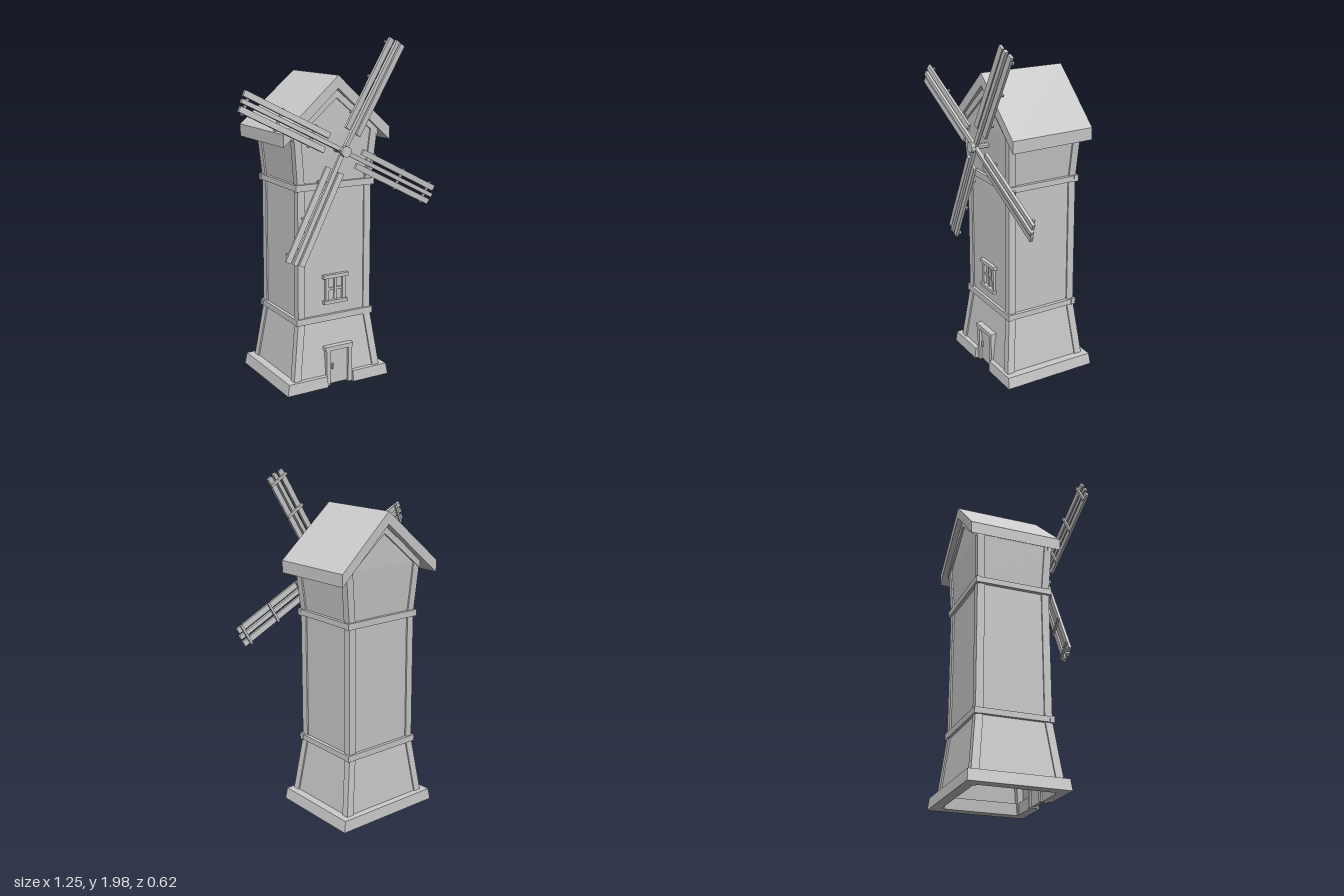
import * as THREE from 'three';

const mat = new THREE.MeshStandardMaterial({ color: 0xcccccc, flatShading: true, side: THREE.DoubleSide });
const CX = -0.005, CZ = -0.018;
// tower outline: height, half width, half depth
const LEVELS = [[0, 0.294, 0.262], [0.4, 0.238, 0.219], [1.17, 0.237, 0.217], [1.47, 0.266, 0.23]];

function add(parent, name, geo) {
  const mesh = new THREE.Mesh(geo, mat);
  mesh.name = name;
  parent.add(mesh);
  return mesh;
}

// box given by its limits
function box(parent, name, x0, x1, y0, y1, z0, z1) {
  const g = new THREE.BoxGeometry(x1 - x0, y1 - y0, z1 - z0);
  g.translate((x0 + x1) / 2, (y0 + y1) / 2, (z0 + z1) / 2);
  return add(parent, name, g);
}

// rectangular cross-sections {x, z, y, hx, hz} joined upwards
function loft(sections, caps, skip = () => false) {
  const p = [];
  const ring = s => [[1, 1], [1, -1], [-1, -1], [-1, 1]].map(([a, b]) => [s.x + a * s.hx, s.y, s.z + b * s.hz]);
  const quad = (a, b, c, d) => p.push(...a, ...b, ...c, ...a, ...c, ...d);
  const rings = sections.map(ring);
  for (let l = 0; l < rings.length - 1; l++) {
    for (let i = 0; i < 4; i++) {
      if (skip(l, i)) continue;
      const j = (i + 1) % 4;
      quad(rings[l][i], rings[l][j], rings[l + 1][j], rings[l + 1][i]);
    }
  }
  if (caps) {
    quad(...rings[0].slice().reverse());
    quad(...rings[rings.length - 1]);
  }
  const g = new THREE.BufferGeometry();
  g.setAttribute('position', new THREE.Float32BufferAttribute(p, 3));
  g.computeVertexNormals();
  return g;
}

function bend(geo, rule) {
  const p = geo.attributes.position, v = new THREE.Vector3();
  for (let i = 0; i < p.count; i++) {
    rule(v.fromBufferAttribute(p, i));
    p.setXYZ(i, v.x, v.y, v.z);
  }
  geo.computeVertexNormals();
  return geo;
}

function extrude(points, z0, z1) {
  const shape = new THREE.Shape(points.map(([x, y]) => new THREE.Vector2(x, y)));
  const g = new THREE.ExtrudeGeometry(shape, { depth: z1 - z0, bevelEnabled: false });
  return g.translate(0, 0, z0);
}

// inverted V of constant vertical thickness
const chevron = (w, peak, eave, t, z0, z1) => extrude([
  [CX - w, eave - t], [CX, peak - t], [CX + w, eave - t], [CX + w, eave], [CX, peak], [CX - w, eave]], z0, z1);

function buildTower() {
  const g = new THREE.Group();
  g.name = 'tower';
  const inset = 0.009;
  // walls, open underneath, with the lower front left for the doorway panel
  add(g, 'walls', loft(LEVELS.map(([y, hx, hz]) => ({ x: CX, z: CZ, y, hx: hx - inset, hz: hz - inset })),
    false, (l, i) => l === 0 && i === 3));
  const bx = 0.285, tx = 0.229;
  const panel = new THREE.ShapeGeometry(new THREE.Shape([
    [CX - bx, 0], [-0.07, 0], [-0.07, 0.22], [0.08, 0.22], [0.08, 0], [CX + bx, 0], [CX + tx, 0.4], [CX - tx, 0.4],
  ].map(([x, y]) => new THREE.Vector2(x, y))));
  add(g, 'doorwayWall', bend(panel, v => { v.z = 0.235 - v.y / 0.4 * 0.043; }));
  // corner posts following the outline
  const s = 0.022;
  for (const a of [-1, 1]) for (const b of [-1, 1]) {
    add(g, 'cornerPost', loft(LEVELS.map(([y, hx, hz]) => (
      { x: CX + a * (hx - s), z: CZ + b * (hz - s), y, hx: s, hz: s })), true));
  }
  // horizontal bands
  for (const [y0, y1] of [[0.385, 0.422], [1.155, 1.192]]) {
    for (const k of [-1, 1]) {
      const zc = CZ + k * 0.214, xc = CX + k * 0.236;
      box(g, 'bandBeam', CX - 0.252, CX + 0.252, y0, y1, zc - 0.014, zc + 0.014);
      box(g, 'bandBeam', xc - 0.014, xc + 0.014, y0 + 0.002, y1 - 0.002, CZ - 0.212, CZ + 0.212);
    }
  }
  return g;
}

function buildPlinth() {
  const g = new THREE.Group();
  g.name = 'plinth';
  const bars = [
    [-0.342, -0.08, 0.205, 0.26], [0.09, 0.33, 0.205, 0.26], // front, either side of the door
    [-0.342, 0.33, -0.31, -0.25],
    [-0.342, -0.275, -0.25, 0.205], [0.265, 0.33, -0.25, 0.205],
  ];
  for (const [x0, x1, z0, z1] of bars) {
    const m = box(g, 'plinthBeam', x0, x1, 0, 0.066, z0, z1);
    bend(m.geometry, v => {
      if (v.y > 0.03 && Math.abs(v.x) > 0.1) v.x *= 0.965;
      if (v.y > 0.03) v.z *= 0.98;
    });
  }
  return g;
}

function buildHead() {
  const g = new THREE.Group();
  g.name = 'head';
  // gable body under the roof
  add(g, 'gable', extrude([[CX - 0.257, 1.46], [CX + 0.257, 1.46], [CX + 0.257, 1.485], [CX, 1.7], [CX - 0.257, 1.485]],
    CZ - 0.22, CZ + 0.22));
  for (const z of [CZ + 0.205, CZ - 0.232]) {
    add(g, 'gableRafter', chevron(0.268, 1.7, 1.477, 0.045, z, z + 0.027));
  }
  // roof, slightly askew at the back
  add(g, 'roof', bend(chevron(0.338, 1.778, 1.478, 0.07, -0.282, 0.232), v => {
    if (v.z > 0) return;
    if (v.x < -0.1) v.z -= 0.028;
    if (v.x > 0.1) v.x -= 0.018;
  }));
  return g;
}

function buildDoor() {
  const g = new THREE.Group();
  g.name = 'door';
  box(g, 'doorLeaf', -0.058, 0.07, 0.005, 0.218, 0.205, 0.226);
  box(g, 'doorJamb', -0.08, -0.055, 0, 0.218, 0.195, 0.241);
  box(g, 'doorJamb', 0.065, 0.09, 0, 0.218, 0.195, 0.241);
  box(g, 'doorLintel', -0.087, 0.096, 0.213, 0.238, 0.195, 0.244);
  box(g, 'doorHandle', -0.04, -0.032, 0.095, 0.13, 0.224, 0.236);
  return g;
}

function buildWindow() {
  const g = new THREE.Group();
  g.name = 'window';
  box(g, 'windowHead', -0.084, 0.078, 0.637, 0.658, 0.185, 0.214);
  box(g, 'windowSill', -0.08, 0.074, 0.486, 0.505, 0.185, 0.216);
  for (const x of [-0.067, 0.044]) box(g, 'windowSide', x, x + 0.019, 0.5, 0.64, 0.185, 0.207);
  box(g, 'windowBar', -0.009, 0.005, 0.5, 0.64, 0.185, 0.202);
  box(g, 'windowBar', -0.05, 0.046, 0.563, 0.577, 0.185, 0.201);
  return g;
}

function buildSails() {
  const g = new THREE.Group();
  g.name = 'sails';
  g.position.set(0, 1.372, 0);
  const rod = (name, r, z0, z1) => add(g, name,
    new THREE.CylinderGeometry(r, r, z1 - z0, 10).rotateX(Math.PI / 2).translate(0, 0, (z0 + z1) / 2));
  rod('axle', 0.016, 0.17, 0.295);
  rod('hub', 0.031, 0.288, 0.313);
  for (const deg of [59.5, 153.4, 243.2, 333]) {
    const sail = new THREE.Group();
    sail.name = 'sail';
    sail.position.z = 0.273;
    sail.rotation.z = THREE.MathUtils.degToRad(deg);
    const blade = new THREE.Group();
    blade.name = 'blade';
    blade.rotation.x = 0.1;
    sail.add(blade);
    box(blade, 'spar', 0, 0.675, -0.012, 0.012, -0.006, 0.014);
    for (const k of [-1, 1]) {
      const plank = box(blade, 'plank', 0.115, 0.672 - k * 0.004, -0.0165, 0.0165, -0.008, 0.008);
      plank.position.y = k * 0.042;
    }
    for (const r of [0.2, 0.42, 0.63]) box(blade, 'batten', r, r + 0.014, -0.065, 0.065, -0.019, -0.007);
    g.add(sail);
  }
  return g;
}

export function createModel() {
  const model = new THREE.Group();
  model.name = 'windmill';
  model.add(buildTower(), buildPlinth(), buildHead(), buildDoor(), buildWindow(), buildSails());
  return model;
}
